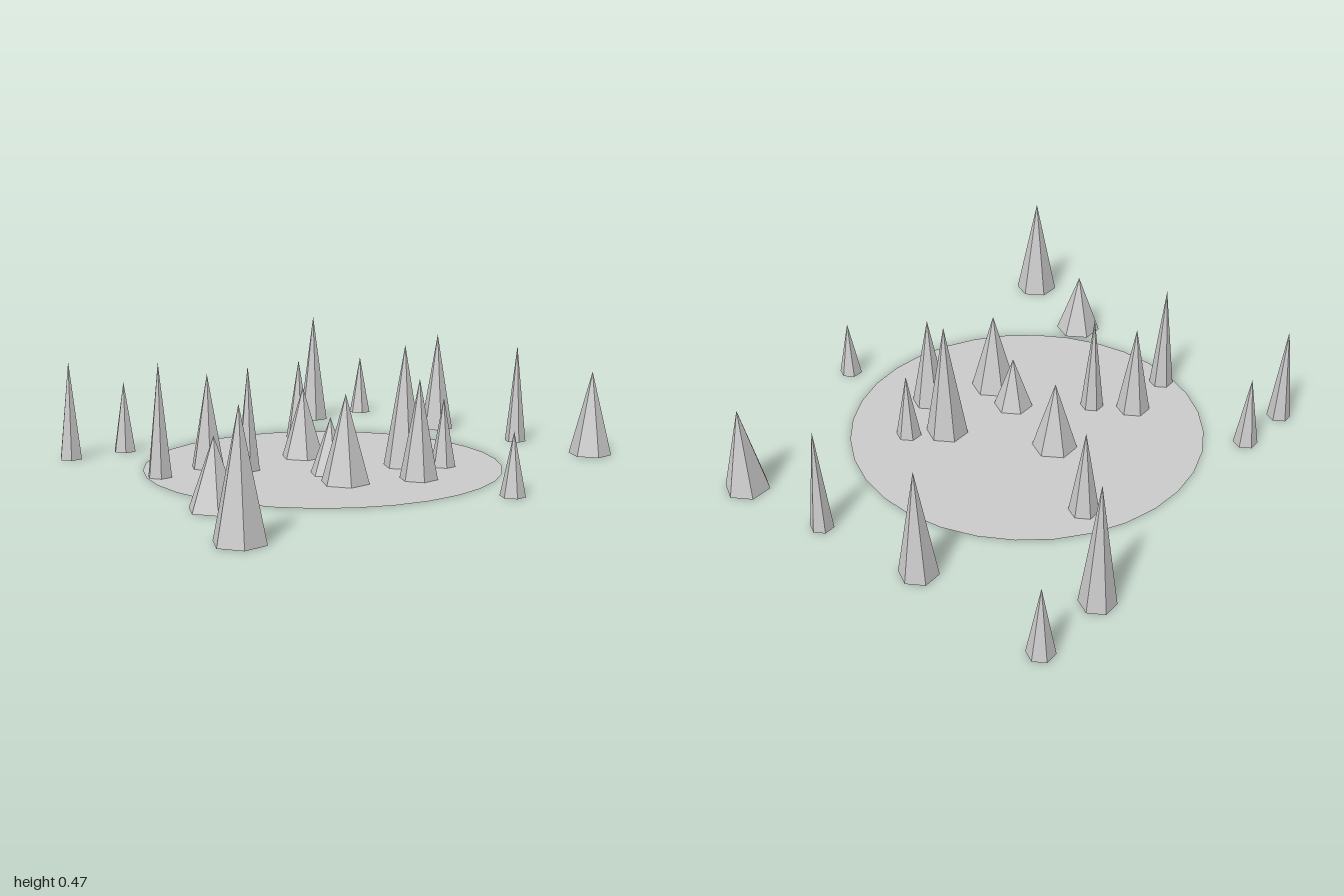
import * as THREE from 'three';

// Each tree: x, z, base radius, height
const TREES = [
  [-0.65, -0.758, 0.046, 0.38], [-0.414, -0.74, 0.046, 0.28],
  [0.644, -0.785, 0.064, 0.47], [0.93, -0.772, 0.048, 0.26],
  [0.291, -0.486, 0.055, 0.33], [-0.577, -0.264, 0.047, 0.42],
  [-0.35, -0.275, 0.065, 0.355], [-0.267, -0.136, 0.045, 0.39],
  [0.042, -0.178, 0.085, 0.275], [0.884, -0.238, 0.07, 0.415],
  [-0.083, 0.115, 0.076, 0.21], [-0.146, 0.262, 0.09, 0.32],
  [0.214, 0.206, 0.08, 0.46], [0.318, 0.31, 0.048, 0.26],
  [0.093, 0.395, 0.071, 0.365], [-0.726, 0.254, 0.091, 0.245],
  [-0.913, 0.62, 0.087, 0.415], [0.912, 0.556, 0.083, 0.33],
  [0.908, 0.184, 0.043, 0.4], [0.131, 0.796, 0.045, 0.225],
];

export function createModel() {
  const model = new THREE.Group();
  model.name = 'forestClearing';
  const material = new THREE.MeshStandardMaterial({
    color: 0xcccccc, flatShading: true, side: THREE.DoubleSide,
  });

  // Flat round ground
  const ground = new THREE.Mesh(new THREE.CircleGeometry(0.679, 32).rotateX(-Math.PI / 2), material);
  ground.name = 'ground';
  ground.position.z = -0.016;
  model.add(ground);

  // Six-sided trees, open underneath, with corners pointing along x
  const cone = new THREE.ConeGeometry(1, 1, 6, 1, true, Math.PI / 6).translate(0, 0.5, 0);
  const trees = new THREE.Group();
  trees.name = 'trees';
  TREES.forEach(([x, z, radius, height], i) => {
    const tree = new THREE.Mesh(cone, material);
    tree.name = `tree${i + 1}`;
    tree.position.set(x, 0, z);
    tree.scale.set(radius, height, radius);
    trees.add(tree);
  });
  model.add(trees);
  return model;
}
